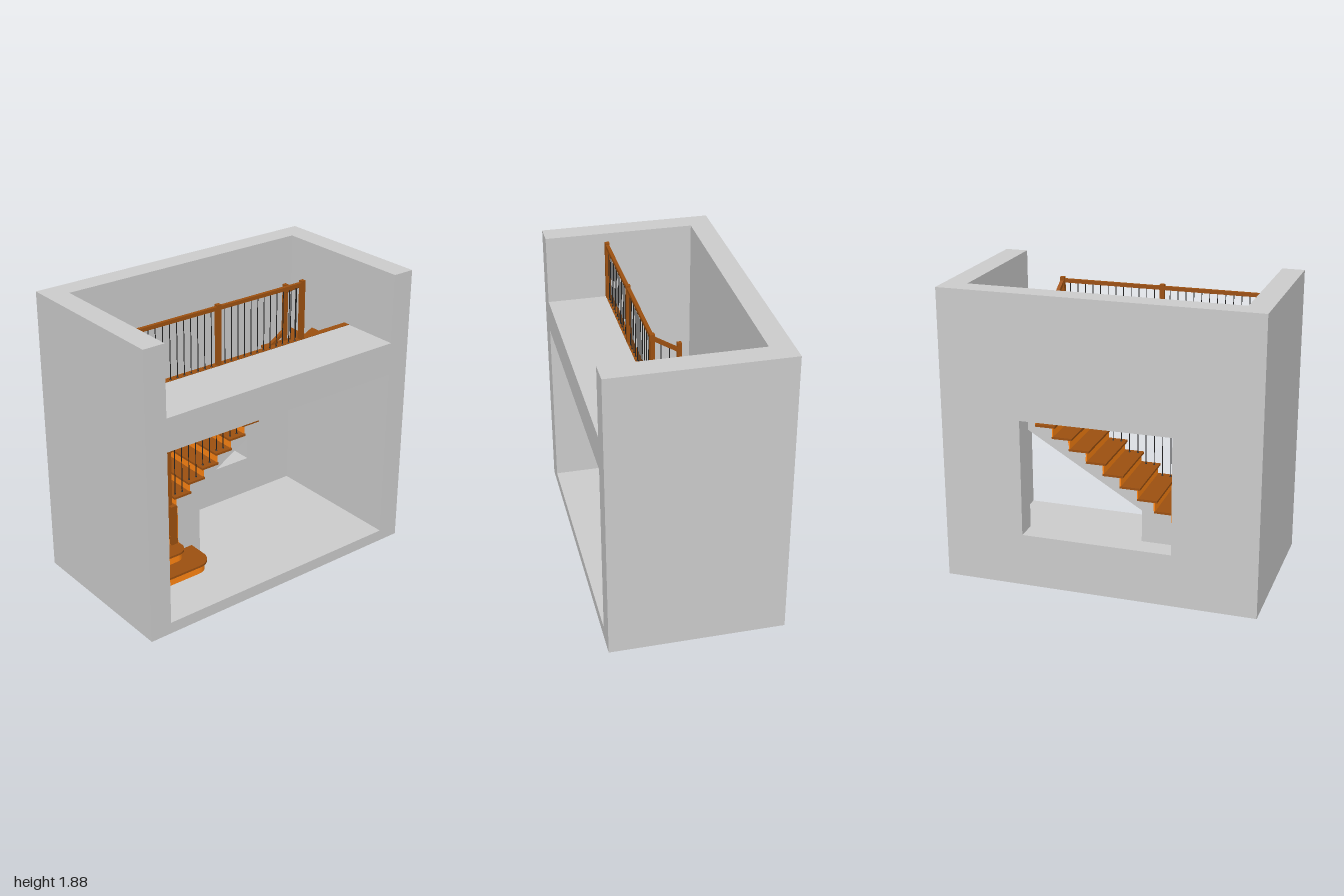
import * as THREE from 'three';

const grey = new THREE.MeshStandardMaterial({ color: 0xcccccc });
const wood = new THREE.MeshStandardMaterial({ color: 0x9c5010 });
const riserWood = new THREE.MeshStandardMaterial({ color: 0xff8412 });
const iron = new THREE.MeshStandardMaterial({ color: 0x222222 });

const FLOOR = 0.075, RISE = 0.0678, TREAD = 0.014;
const stepY = (n) => FLOOR + RISE * n;

export function createModel() {
  const model = new THREE.Group();

  const add = (name, geometry, material, parent = model) => {
    const mesh = new THREE.Mesh(geometry, material);
    mesh.name = name;
    parent.add(mesh);
    return mesh;
  };
  const group = (name) => {
    const g = new THREE.Group();
    g.name = name;
    model.add(g);
    return g;
  };
  // box given by its limits
  const box = (name, x0, x1, y0, y1, z0, z1, material, parent) => {
    const g = new THREE.BoxGeometry(x1 - x0, y1 - y0, z1 - z0);
    g.translate((x0 + x1) / 2, (y0 + y1) / 2, (z0 + z1) / 2);
    return add(name, g, material, parent);
  };
  // plan outline [x, z] raised from y0 to y1
  const slab = (name, plan, y0, y1, material, parent) => {
    const shape = new THREE.Shape(plan.map(([x, z]) => new THREE.Vector2(x, -z)));
    const g = new THREE.ExtrudeGeometry(shape, { depth: y1 - y0, bevelEnabled: false });
    g.rotateX(-Math.PI / 2).translate(0, y0, 0);
    return add(name, g, material, parent);
  };
  // square bar between two points
  const bar = (name, a, b, size, material, parent) => {
    const p = new THREE.Vector3(...a), q = new THREE.Vector3(...b);
    const m = add(name, new THREE.BoxGeometry(size, size, p.distanceTo(q)), material, parent);
    m.position.copy(p).add(q).multiplyScalar(0.5);
    m.lookAt(q);
    return m;
  };
  // thin rod with a small foot
  const baluster = (x, z, y0, y1, parent) => {
    const rod = new THREE.CylinderGeometry(0.0028, 0.0028, y1 - y0, 8);
    add('baluster', rod.translate(x, (y0 + y1) / 2, z), iron, parent);
    const foot = new THREE.CylinderGeometry(0.004, 0.007, 0.008, 8);
    add('balusterFoot', foot.translate(x, y0 + 0.004, z), iron, parent);
  };

  // building shell
  const shell = group('shell');
  const wall = new THREE.Shape();
  wall.moveTo(-1, 0).lineTo(1, 0).lineTo(1, 1.875).lineTo(-1, 1.875).closePath();
  const opening = new THREE.Path();
  opening.moveTo(-0.465, 0.34).lineTo(-0.465, 1.09).lineTo(0.49, 1.09).lineTo(0.49, 0.34).closePath();
  wall.holes.push(opening);
  const back = new THREE.ExtrudeGeometry(wall, { depth: 0.14, bevelEnabled: false });
  add('backWall', back.translate(0, 0, -0.55), grey, shell);
  box('rightWall', -1, -0.858, 0, 1.875, -0.41, 0.548, grey, shell);
  box('leftWall', 0.855, 1, 0, 1.875, -0.41, 0.548, grey, shell);
  box('groundFloor', -0.858, 0.855, 0, FLOOR, -0.41, 0.548, grey, shell);
  box('upperFloor', -0.858, 0.855, 1.217, 1.428, 0.14, 0.548, grey, shell);
  box('landingNosing', -0.858, 0.855, 1.414, 1.431, 0.122, 0.165, wood, shell);

  // nosing lines: outer end, newel end, numbered from the third step
  const straight = (n) => -0.445 + (n - 7) * 0.1088;
  const nose = {
    3: [[-0.86, 0.025], [-0.46, 0.025]],
    4: [[-0.86, -0.14], [-0.46, 0.01]],
    5: [[-0.86, -0.4], [-0.46, -0.01]],
    6: [[-0.635, -0.41], [-0.455, -0.02]],
    16: [[0.6, -0.41], [0.475, -0.02]],
    17: [[0.855, -0.4], [0.48, -0.01]],
    18: [[0.855, -0.19], [0.485, 0]],
    19: [[0.855, 0.01], [0.42, 0.01]],
    20: [[0.855, 0.125], [0.42, 0.125]],
  };
  for (let n = 7; n <= 15; n++) nose[n] = [[straight(n), -0.41], [straight(n), 0.03]];

  // move a nosing line in the climbing direction
  const shift = ([a, b], d) => {
    const dx = b[0] - a[0], dz = b[1] - a[1], l = Math.hypot(dx, dz);
    return [a, b].map(([x, z]) => [x + (dz / l) * d, z - (dx / l) * d]);
  };
  const plan = (n, inset) => {
    const [a, b] = shift(nose[n], inset), [c, d] = shift(nose[n + 1], 0.02);
    return [a, b, d, c];
  };

  // two bottom steps with a rounded free end
  const steps = group('steps');
  const bullnose = (xEnd, zNose, r) => {
    const pts = [[-0.86, 0], [-0.86, zNose]];
    for (let i = 0; i <= 10; i++) {
      const t = (i / 10) * Math.PI / 2;
      pts.push([xEnd - r + r * Math.sin(t), zNose - r + r * Math.cos(t)]);
    }
    pts.push([xEnd, 0]);
    return pts;
  };
  [[1, -0.305, 0.24, 0.1], [2, -0.415, 0.13, 0.075]].forEach(([n, x, z, r]) => {
    slab('bottomStepBody', bullnose(x - 0.014, z - 0.014, r - 0.01), FLOOR, stepY(n) - TREAD, riserWood, steps);
    slab('bottomTread', bullnose(x, z, r), stepY(n) - TREAD, stepY(n), wood, steps);
  });

  // winders and straight flight
  for (let n = 3; n <= 19; n++) {
    const y = stepY(n);
    slab('tread', plan(n, 0), y - TREAD, y, wood, steps);
    if (n < 7) {
      slab('lowerWinderBody', plan(n, 0.015), FLOOR, y - TREAD, riserWood, steps);
    } else if (n < 15) {
      const x = straight(n) + 0.012;
      box('riser', x, x + 0.01, y - RISE, y - TREAD, -0.41, 0.015, riserWood, steps);
    } else {
      slab('upperWinderBody', plan(n, 0.015), y - RISE, y - TREAD, riserWood, steps);
      const base = plan(n, 0.015).map(([x, z]) => [Math.max(x, 0.49), z]);
      slab('upperWinderBase', base, 0.985, y - RISE, grey, steps);
    }
  }

  // solid base of the straight flight with sloping underside
  const side = new THREE.Shape();
  side.moveTo(-0.24, FLOOR).lineTo(-0.24, 0.545).lineTo(0.49, 0.985).lineTo(0.49, stepY(15) - TREAD);
  for (let n = 15; n >= 7; n--) {
    const x = straight(n) + 0.018;
    side.lineTo(x, stepY(n) - TREAD);
    side.lineTo(x, n > 7 ? stepY(n - 1) - TREAD : FLOOR);
  }
  const flight = new THREE.ExtrudeGeometry(side, { depth: 0.42, bevelEnabled: false });
  add('flightBase', flight.translate(0, 0, -0.41), grey, steps);

  // stair railing
  const stairRail = group('stairRailing');
  const zRail = -0.007;
  const railY = (x) => 0.868 + (x + 0.45) * 0.622;
  box('lowerNewelBase', -0.476, -0.43, 0.215, 0.49, -0.02, 0.032, wood, stairRail);
  box('lowerNewel', -0.473, -0.448, 0.49, 0.91, -0.02, 0.005, wood, stairRail);
  box('upperNewelBase', 0.43, 0.49, 1.01, 1.37, -0.02, 0.032, wood, stairRail);
  box('upperNewel', 0.446, 0.472, 1.37, 1.745, -0.02, 0.006, wood, stairRail);
  bar('handrail', [-0.455, railY(-0.455), zRail], [0.455, railY(0.455), zRail], 0.023, wood, stairRail);
  for (let n = 7; n <= 14; n++) {
    for (const d of [0.03, 0.0845]) {
      const x = straight(n) + d;
      baluster(x, zRail, stepY(n), railY(x), stairRail);
    }
  }
  bar('returnHandrail', [0.459, 1.7, 0], [0.459, 1.79, 0.15], 0.022, wood, stairRail);
  for (const z of [0.05, 0.1]) baluster(0.459, z, stepY(19), 1.7 + z * 0.6, stairRail);

  // landing railing
  const landing = group('landingRailing');
  const posts = [-0.844, -0.194, 0.458];
  for (const x of posts) box('landingNewel', x - 0.014, x + 0.014, 1.428, 1.817, 0.138, 0.166, wood, landing);
  box('landingHandrail', posts[0], posts[2], 1.783, 1.806, 0.141, 0.163, wood, landing);
  for (let s = 0; s < 2; s++) {
    for (let i = 1; i <= 12; i++) {
      const x = posts[s] + (posts[s + 1] - posts[s]) * i / 13;
      baluster(x, 0.152, 1.43, 1.785, landing);
    }
  }
  return model;
}
